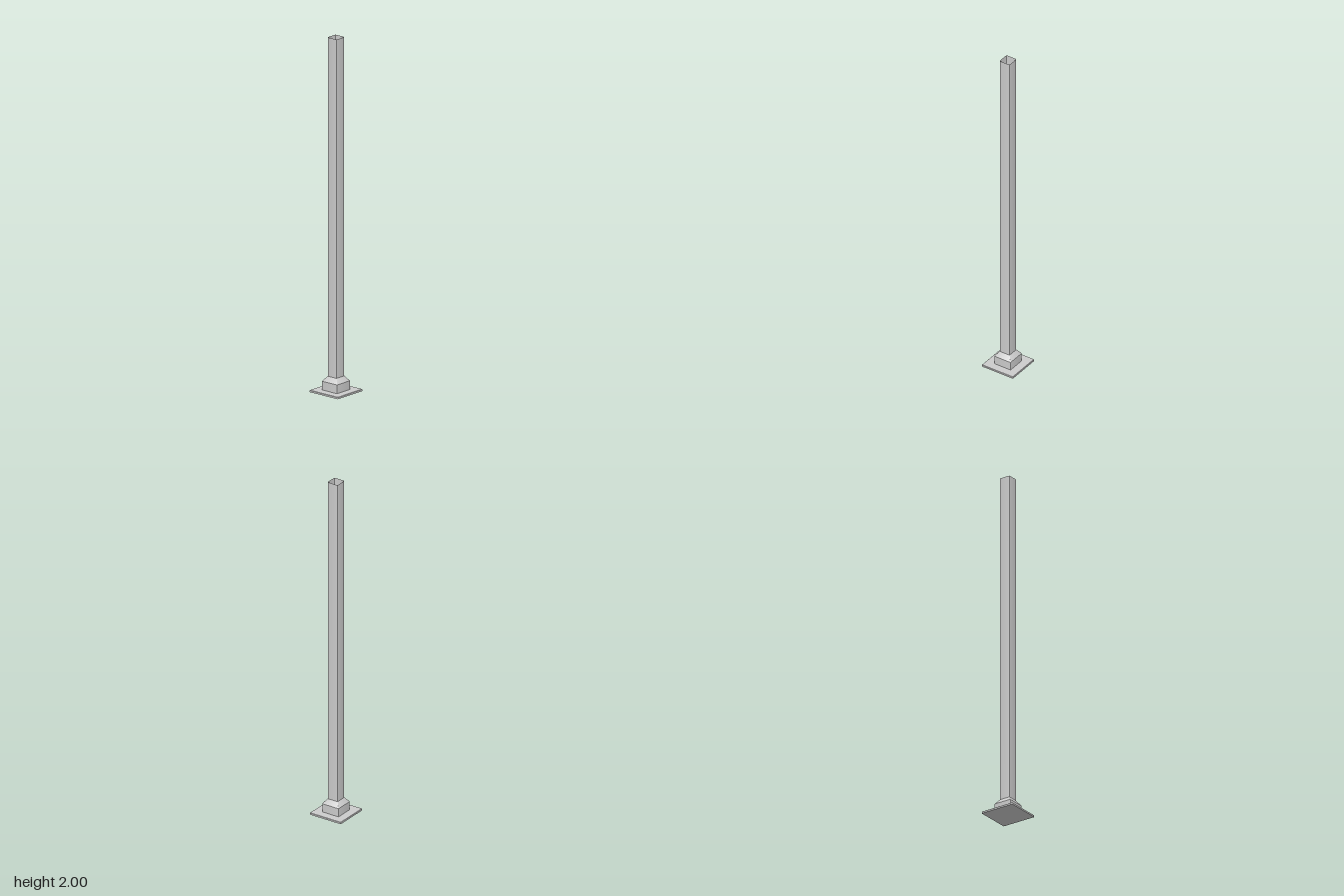
import * as THREE from 'three';
import { toCreasedNormals } from 'three/addons/utils/BufferGeometryUtils.js';

const material = new THREE.MeshStandardMaterial({ color: 0xcccccc });
const openMaterial = new THREE.MeshStandardMaterial({ color: 0xcccccc, side: THREE.DoubleSide });
const STEPS = 4; // segments per rounded corner

// Square outline with rounded corners at height y
function ring(half, radius, y) {
  const points = [];
  for (let corner = 0; corner < 4; corner++) {
    const mid = (corner + 0.5) * Math.PI / 2;
    const cx = Math.sign(Math.cos(mid)) * (half - radius);
    const cz = Math.sign(Math.sin(mid)) * (half - radius);
    for (let s = 0; s <= STEPS; s++) {
      const a = (corner + s / STEPS) * Math.PI / 2;
      points.push([cx + radius * Math.cos(a), y, cz + radius * Math.sin(a)]);
    }
  }
  return points;
}

// Skin a stack of [half, radius, y] sections, listed from bottom to top
function loft(name, sections, mat) {
  const rings = sections.map((s) => ring(...s));
  const positions = [];
  for (let j = 0; j < rings.length - 1; j++) {
    const n = rings[j].length;
    for (let i = 0; i < n; i++) {
      const k = (i + 1) % n;
      const a = rings[j][i], b = rings[j][k], c = rings[j + 1][i], d = rings[j + 1][k];
      if (sections[j][0] > 0) positions.push(...a, ...c, ...b);
      if (sections[j + 1][0] > 0) positions.push(...b, ...c, ...d);
    }
  }
  const geometry = new THREE.BufferGeometry();
  geometry.setAttribute('position', new THREE.Float32BufferAttribute(positions, 3));
  const mesh = new THREE.Mesh(toCreasedNormals(geometry, Math.PI / 6), mat);
  mesh.name = name;
  return mesh;
}

export function createModel() {
  const group = new THREE.Group();
  group.name = 'squarePost';

  // Thin floor plate with softened rim
  group.add(loft('basePlate', [
    [0, 0, 0], [0.102, 0.004, 0], [0.102, 0.004, 0.009],
    [0.1, 0.003, 0.011], [0, 0, 0.011],
  ], material));

  // Collar with sloping shoulders around the foot of the post
  group.add(loft('collar', [
    [0.054, 0.003, 0.011], [0.054, 0.003, 0.06], [0.033, 0.005, 0.088],
  ], openMaterial));

  // Hollow square tube, open at the top
  group.add(loft('post', [[0.033, 0.005, 0.011], [0.033, 0.005, 2]], openMaterial));

  return group;
}
